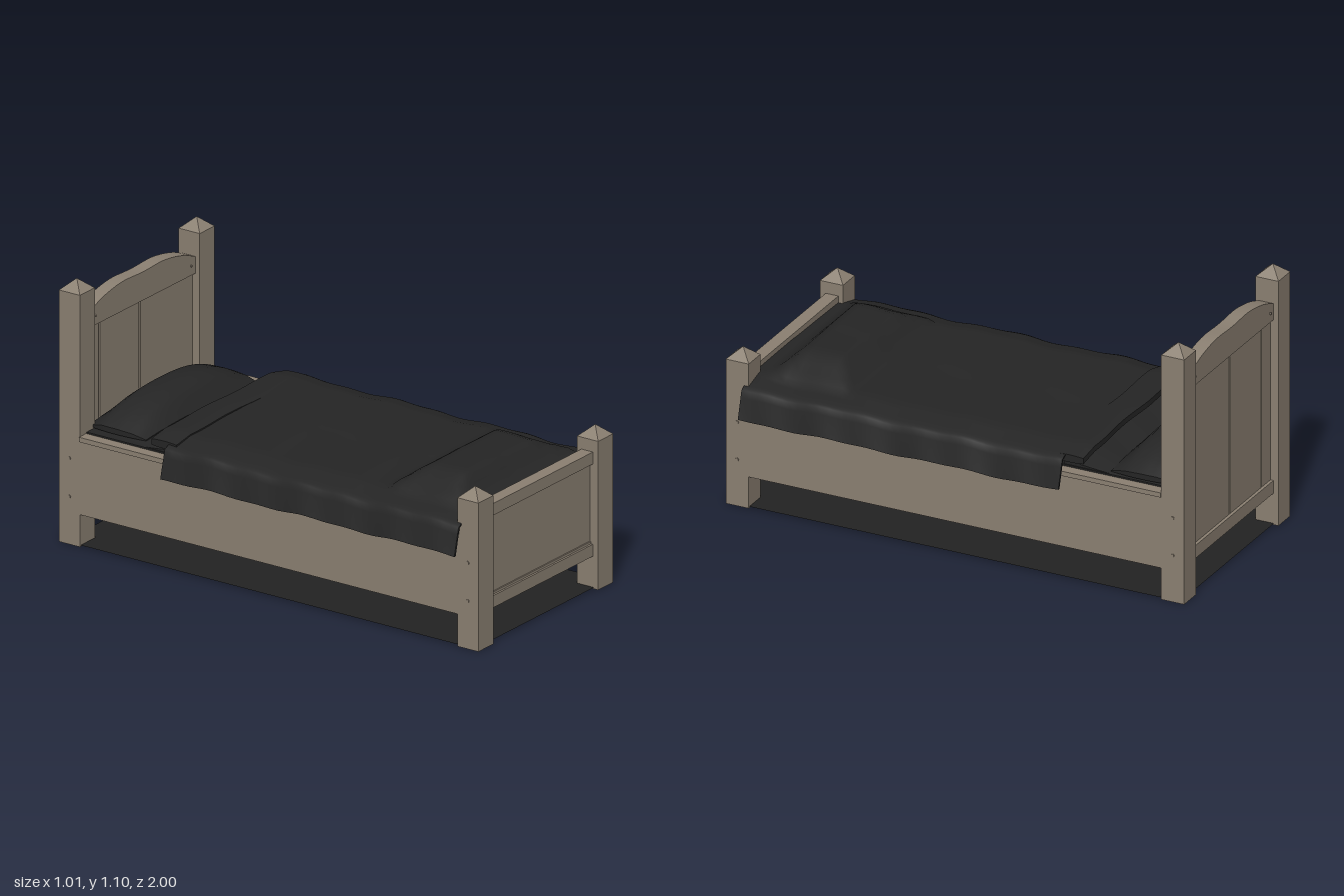
import * as THREE from 'three';

export function createModel() {
  const bed = new THREE.Group();
  bed.name = 'bed';
  const wood = new THREE.MeshStandardMaterial({ color: 0x8b8072 });
  wood.name = 'weathered wood';
  const cloth = new THREE.MeshStandardMaterial({ color: 0x252525 });
  cloth.name = 'charcoal fabric';
  const base = new THREE.MeshStandardMaterial({ color: 0x222222, side: THREE.DoubleSide });
  base.name = 'dark base';

  const add = (name, geometry, material) => {
    const mesh = new THREE.Mesh(geometry, material);
    mesh.name = name;
    bed.add(mesh);
    return mesh;
  };
  // box given by its limits on each axis
  const block = (name, x0, x1, y0, y1, z0, z1, material = wood) =>
    add(name, new THREE.BoxGeometry(x1 - x0, y1 - y0, z1 - z0), material)
      .position.set((x0 + x1) / 2, (y0 + y1) / 2, (z0 + z1) / 2);
  // subdivided unit box whose vertices are moved by a rule
  const shaped = (name, nx, ny, nz, rule) => {
    const g = new THREE.BoxGeometry(2, 2, 2, nx, ny, nz);
    const p = g.attributes.position;
    for (let i = 0; i < p.count; i++) p.setXYZ(i, ...rule(p.getX(i), p.getY(i), p.getZ(i)));
    g.computeVertexNormals();
    return add(name, g, cloth);
  };
  // piecewise linear lookup
  const lerp = (t, keys, values) => {
    let i = 1;
    while (i < keys.length - 1 && t > keys[i]) i++;
    const f = THREE.MathUtils.clamp((t - keys[i - 1]) / (keys[i] - keys[i - 1]), 0, 1);
    return values[i - 1] + f * (values[i] - values[i - 1]);
  };

  // corner posts with pyramid caps and bolts
  for (const s of [-1, 1]) {
    for (const [z, h, end] of [[0.95, 0.62, 'foot'], [-0.95, 1.05, 'head']]) {
      const x = s * 0.4;
      block(end + 'Post', x - 0.05, x + 0.05, 0, h, z - 0.05, z + 0.05);
      let cone = new THREE.ConeGeometry(0.05 * Math.SQRT2, 0.045, 4, 1, true);
      cone.rotateY(Math.PI / 4);
      cone = cone.toNonIndexed();
      cone.computeVertexNormals();
      add(end + 'PostCap', cone, wood).position.set(x, h + 0.0225, z);
      for (const y of [0.2, 0.36]) {
        const bolt = add('bolt', new THREE.CylinderGeometry(0.007, 0.007, 0.006, 8), wood);
        bolt.rotation.z = Math.PI / 2;
        bolt.position.set(s * 0.451, y, z);
      }
    }
    // side rails, their caps and inner cleats
    block('sideRail', s * 0.43 - 0.02, s * 0.43 + 0.02, 0.135, 0.44, -0.9, 0.9);
    block('sideRailCap', s * 0.432 - 0.024, s * 0.432 + 0.024, 0.44, 0.46, -0.9, 0.9);
    block('slatCleat', s * 0.395 - 0.015, s * 0.395 + 0.015, 0.145, 0.18, -0.9, 0.9);
    // headboard pegs
    const peg = add('headboardPeg', new THREE.CylinderGeometry(0.005, 0.005, 0.07, 8), wood);
    peg.rotation.x = Math.PI / 2;
    peg.position.set(s * 0.32, 0.92, -0.95);
  }

  // footboard
  block('footTopRail', -0.35, 0.35, 0.52, 0.57, 0.92, 0.975);
  block('footPanel', -0.35, 0.35, 0.185, 0.52, 0.93, 0.96);
  block('footPanelLedge', -0.35, 0.35, 0.185, 0.195, 0.925, 0.966);
  block('footBottomRail', -0.35, 0.35, 0.135, 0.185, 0.92, 0.975);

  // headboard: planks with narrow gaps, bottom rail and arched top rail
  for (const [a, b] of [[-0.35, -0.275], [-0.268, -0.005], [0.003, 0.35]])
    block('headPlank', a, b, 0.18, 0.89, -0.965, -0.935);
  block('headBottomRail', -0.35, 0.35, 0.135, 0.19, -0.978, -0.92);
  const arch = new THREE.Shape();
  arch.moveTo(-0.35, 0.88);
  arch.lineTo(0.35, 0.88);
  arch.lineTo(0.35, 0.95);
  arch.splineThru([[0.28, 0.977], [0.2, 0.995], [0.12, 1.003], [0, 0.999], [-0.12, 1.003],
    [-0.2, 0.995], [-0.28, 0.977], [-0.35, 0.95]].map(([x, y]) => new THREE.Vector2(x, y)));
  arch.closePath();
  add('headTopRail', new THREE.ExtrudeGeometry(arch, { depth: 0.058, bevelEnabled: false, curveSegments: 24 }), wood)
    .position.z = -0.978;

  // slats
  for (let i = 0; i < 12; i++) {
    const z = -0.83 + i * 0.151;
    block('slat', -0.41, 0.41, 0.18, 0.2, z - 0.055, z + 0.055);
  }

  // floor panel
  const floor = add('floorPanel', new THREE.PlaneGeometry(0.89, 1.96), base);
  floor.rotation.x = -Math.PI / 2;
  floor.position.y = 0.006;

  // mattress and under-sheet
  block('mattress', -0.405, 0.405, 0.2, 0.465, -0.9, 0.91, cloth);
  shaped('underSheet', 16, 1, 10, (x, y, z) => {
    const zz = -0.65 + z * 0.2;
    const top = lerp(zz, [-0.85, -0.66, -0.45], [0.47, 0.478, 0.503]) + 0.003 * Math.sin(x * 9 + z * 3);
    return [x * 0.4, y > 0 ? top - 0.015 * x ** 6 : 0.44, zz];
  });

  // pillow, arched across its width
  shaped('pillow', 20, 4, 12, (x, y, z) => {
    const zz = -0.785 + z * 0.135;
    const rise = lerp(zz, [-0.92, -0.86, -0.78, -0.71, -0.65], [0.03, 0.1, 0.105, 0.085, 0.018]);
    const swell = 0.22 + 0.78 * (1 - Math.abs(x) ** 2.6);
    return [0.015 + x * (0.385 - 0.012 * z * z), 0.47 + rise * swell * (y + 1) / 2, zz];
  });

  // blanket draped over both sides, raised over a cushion at the foot
  const knots = [0, 0.5, 0.7, 0.8, 1];
  const acrossX = [0, 0.36, 0.45, 0.472, 0.503];
  const acrossY = [0.547, 0.545, 0.523, 0.512, 0.398];
  shaped('blanket', 40, 1, 40, (x, y, z) => {
    const u = Math.abs(x), s = Math.sign(x), zz = 0.22 + z * 0.7;
    const under = y < 0 ? 0.01 : 0;
    const hx = lerp(u, knots, acrossX), hy = lerp(u, knots, acrossY);
    const lump = Math.min(lerp(hx, [0.23, 0.38], [1, 0]), lerp(zz, [0.5, 0.6, 0.78, 0.86], [0, 1, 1, 0]));
    const ripple = 0.003 * Math.sin(zz * 13 + s * 1.5) + 0.002 * Math.sin(zz * 29 + x * 4);
    return [
      s * (hx - under * u + ripple * u ** 4),
      hy - under * (1 - u) + 0.075 * lump + ripple * (0.5 + u),
      zz,
    ];
  });

  // turned-back fold at the head of the blanket
  shaped('blanketFold', 30, 2, 6, (x, y, z) => {
    const zz = -0.5 + z * 0.06 + 0.004 * Math.sin(x * 7);
    const drop = lerp(Math.abs(x), [0, 0.8, 1], [0, 0.003, 0.022]);
    return [x * 0.445, 0.538 + y * (0.016 - 0.004 * z * z) - drop, zz];
  });

  return bed;
}
